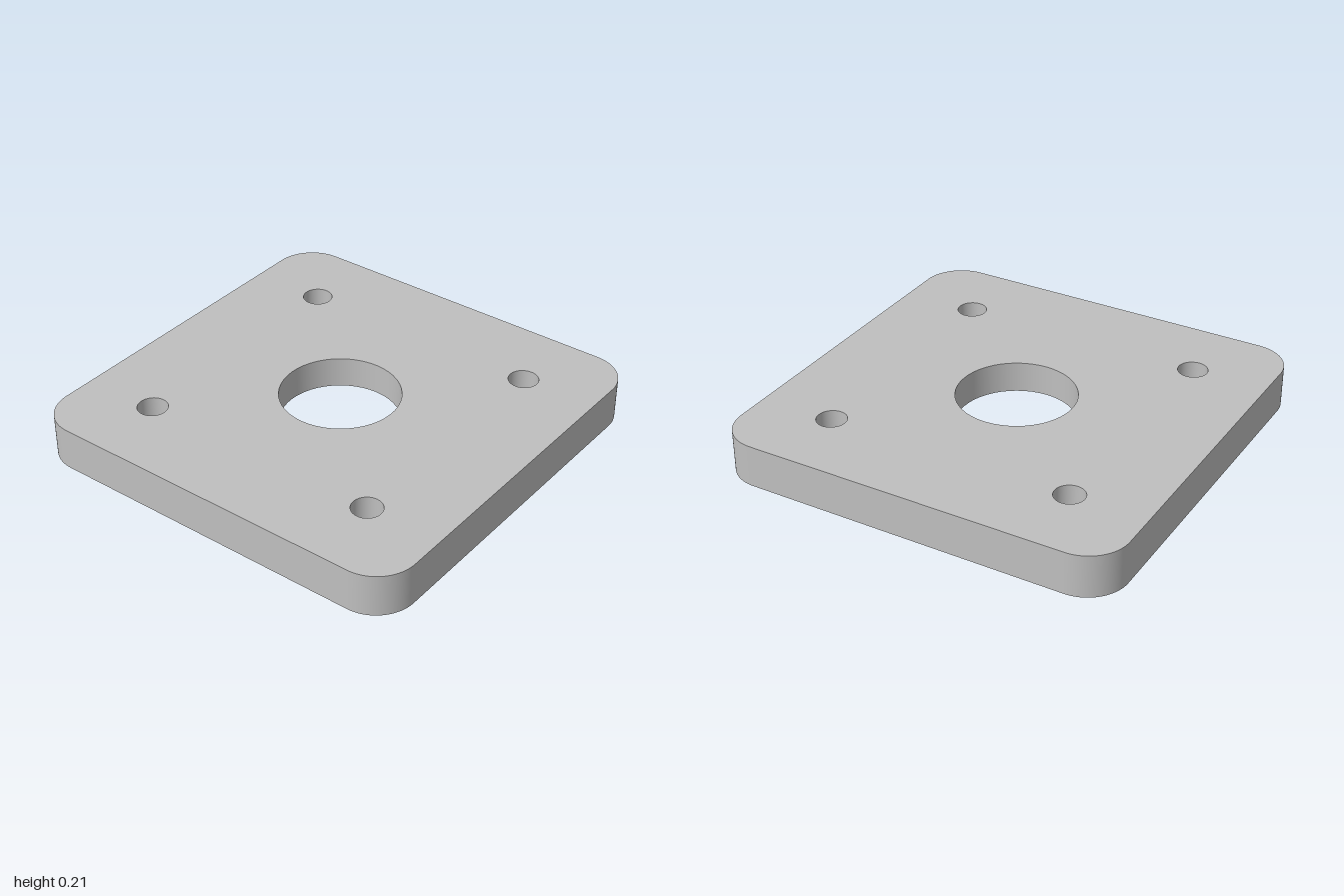
import * as THREE from 'three';

const T = 0.21;          // plate thickness
const CORNER = 0.2;      // corner radius
const BORE = 0.29;       // centre hole radius
const RECESS = 0.505;    // underside recess radius
const DEPTH = 0.055;     // underside recess depth
const BOLT = 0.073;      // bolt hole radius
const BOLT_POS = 0.62;   // bolt hole offset from the centre
const SEG = 48;          // segments per circle and per corner

const bolts = [[1, 1], [1, -1], [-1, 1], [-1, -1]].map(([x, z]) => [x * BOLT_POS, z * BOLT_POS]);

// Flat rounded-square face with bolt holes and one centre opening
function plateFace(centreRadius) {
  const s = new THREE.Shape(), k = 1 - CORNER;
  for (let i = 0; i < 4; i++) {
    const a = i * Math.PI / 2;
    const cx = i === 0 || i === 3 ? k : -k, cy = i < 2 ? k : -k;
    s.absarc(cx, cy, CORNER, a, a + Math.PI / 2, false);
  }
  s.closePath();
  for (const [x, y, r] of [[0, 0, centreRadius], ...bolts.map(([x, y]) => [x, y, BOLT])]) {
    const hole = new THREE.Path();
    hole.absarc(x, y, r, 0, Math.PI * 2, true);
    s.holes.push(hole);
  }
  return new THREE.ShapeGeometry(s, SEG / 2);
}

// Round wall facing inwards
function holeWall(r, y0, y1) {
  return new THREE.LatheGeometry([new THREE.Vector2(r, y1), new THREE.Vector2(r, y0)], SEG);
}

export function createModel() {
  const model = new THREE.Group();
  model.name = 'mountingPlate';
  const metal = new THREE.MeshStandardMaterial({ color: 0xbfbfbf });
  metal.name = 'light grey metal';

  const add = (name, geometry) => {
    const mesh = new THREE.Mesh(geometry, metal);
    mesh.name = name;
    model.add(mesh);
  };

  // Top and bottom faces
  add('topFace', plateFace(BORE).rotateX(-Math.PI / 2).translate(0, T, 0));
  add('bottomFace', plateFace(RECESS).rotateX(Math.PI / 2));

  // Outer sides and rounded corners
  for (let i = 0; i < 4; i++) {
    const turn = i * Math.PI / 2;
    add('side', new THREE.PlaneGeometry(2 - 2 * CORNER, T).translate(0, T / 2, 1).rotateY(turn));
    add('roundedCorner', new THREE.CylinderGeometry(CORNER, CORNER, T, SEG, 1, true, 0, Math.PI / 2)
      .translate(1 - CORNER, T / 2, 1 - CORNER).rotateY(turn));
  }

  // Centre hole with a round recess on the underside
  add('centreHole', holeWall(BORE, DEPTH, T));
  add('recessWall', holeWall(RECESS, 0, DEPTH));
  add('recessFloor', new THREE.RingGeometry(BORE, RECESS, SEG).rotateX(Math.PI / 2).translate(0, DEPTH, 0));

  // Bolt holes
  for (const [x, z] of bolts) add('boltHole', holeWall(BOLT, 0, T).translate(x, 0, z));

  return model;
}
